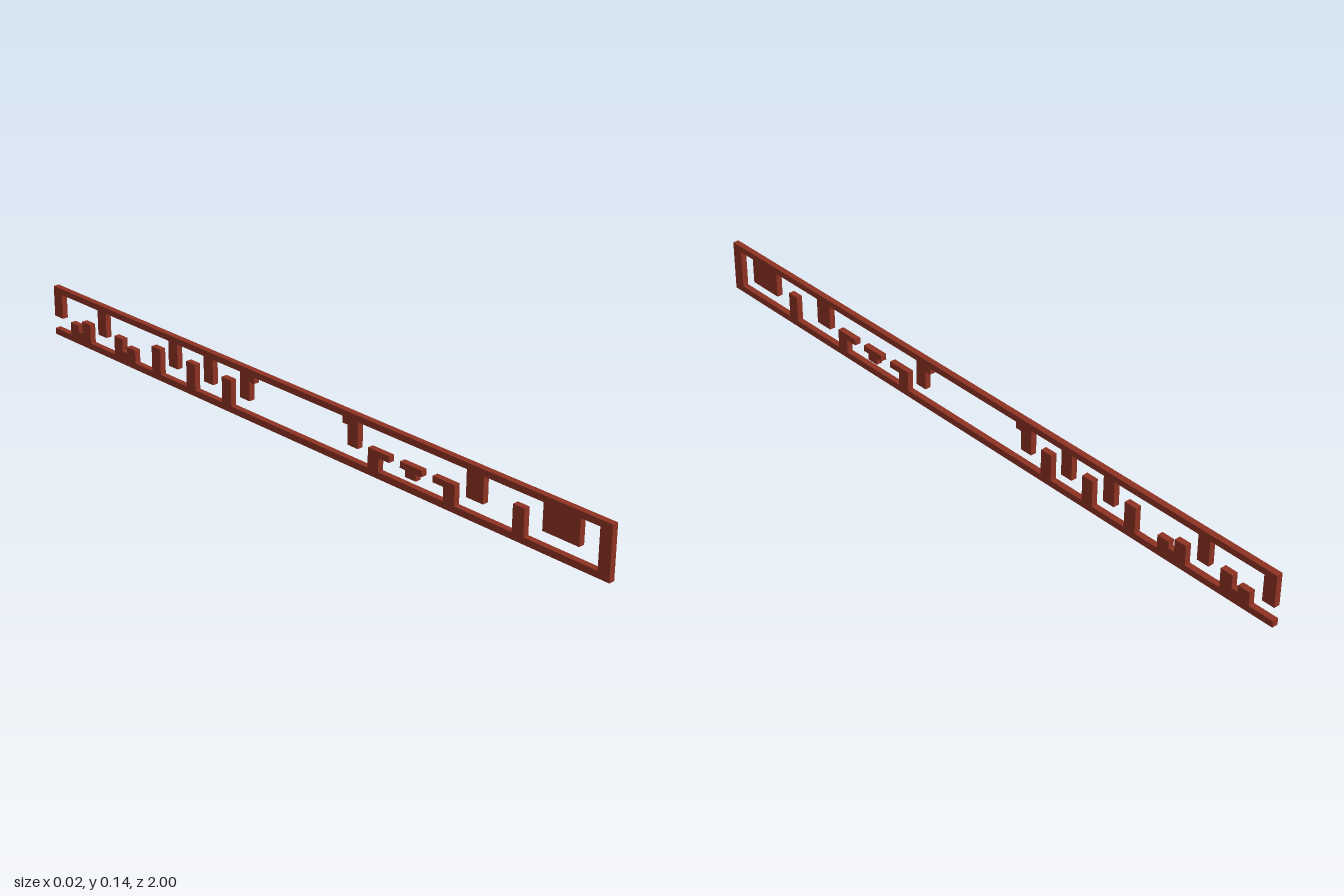
import * as THREE from 'three';

const DEPTH = 0.017, TOP = 0.143, TOP_RAIL = 0.126, BOTTOM_RAIL = 0.018;

export function createModel() {
  const model = new THREE.Group();
  model.name = 'fretworkPanel';
  const redBrown = new THREE.MeshStandardMaterial({ color: 0x8f3222 });
  redBrown.name = 'redBrown';

  // One bar of the panel, spanning z0..z1 and y0..y1
  const bar = (name, z0, z1, y0, y1) => {
    const mesh = new THREE.Mesh(new THREE.BoxGeometry(DEPTH, y1 - y0, Math.abs(z1 - z0)), redBrown);
    mesh.position.set(0, (y0 + y1) / 2, (z0 + z1) / 2);
    mesh.name = name;
    model.add(mesh);
  };

  // Frame, open at the back end
  bar('topRail', -1, 1, TOP_RAIL, TOP);
  bar('bottomRail', -1, 1, 0, BOTTOM_RAIL);
  bar('frontEndPost', 0.966, 1, BOTTOM_RAIL, TOP_RAIL);

  // Teeth hanging from the top rail: z range and lower edge
  [
    [0.804, 0.911, 0.055], [0.572, 0.625, 0.055],
    [0.18, 0.215, 0.055], [0.161, 0.18, 0.108],
    [-0.215, -0.179, 0.055], [-0.179, -0.161, 0.108],
    [-0.357, -0.321, 0.055], [-0.5, -0.464, 0.055],
    [-0.803, -0.767, 0.055], [-1, -0.964, 0.055],
  ].forEach(([z0, z1, y]) => bar('hangingTooth', z0, z1, y, TOP_RAIL));

  // Teeth standing on the bottom rail: z range and upper edge
  [
    [0.715, 0.75, 0.09], [0.5, 0.536, 0.072], [0.25, 0.286, 0.072],
    [-0.286, -0.25, 0.09], [-0.428, -0.393, 0.09], [-0.571, -0.535, 0.09],
    [-0.679, -0.643, 0.055], [-0.697, -0.679, 0.037], [-0.732, -0.697, 0.072],
    [-0.875, -0.839, 0.072], [-0.893, -0.875, 0.037], [-0.928, -0.893, 0.055],
  ].forEach(([z0, z1, y]) => bar('standingTooth', z0, z1, BOTTOM_RAIL, y));

  // Side arms and the free T piece in the middle of the front half
  bar('frontArm', 0.465, 0.5, 0.055, 0.072);
  bar('rearArm', 0.286, 0.322, 0.055, 0.072);
  bar('freeBar', 0.358, 0.429, 0.055, 0.072);
  bar('freeStub', 0.376, 0.411, 0.037, 0.055);

  return model;
}
